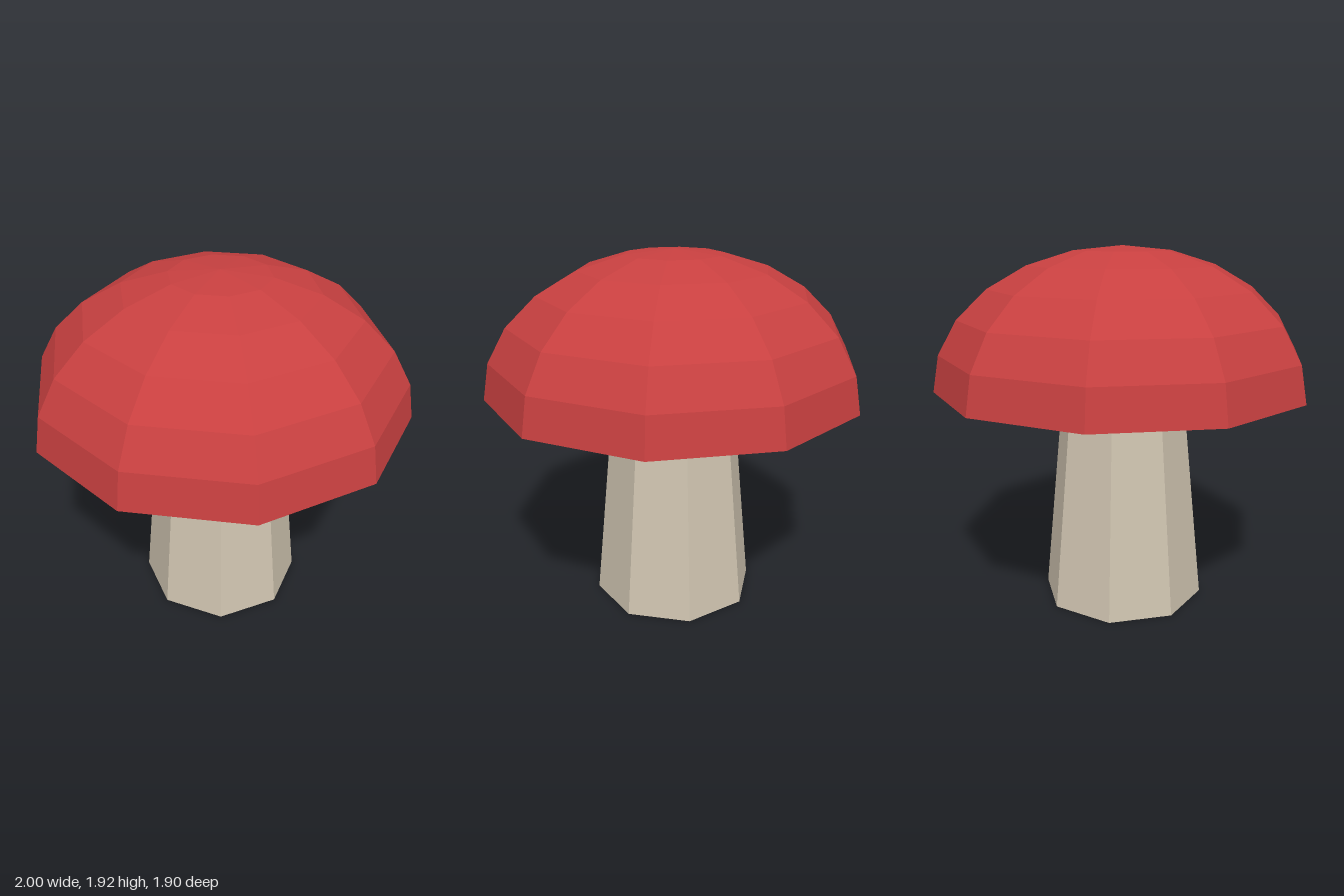
import * as THREE from 'three';

const flat = (color, side = THREE.FrontSide) =>
  new THREE.MeshStandardMaterial({ color, flatShading: true, side });

export function createModel() {
  const group = new THREE.Group();
  const add = (name, geometry, material, x, y, z) => {
    const mesh = new THREE.Mesh(geometry, material);
    mesh.name = name;
    mesh.position.set(x, y, z);
    group.add(mesh);
    return mesh;
  };

  const rimY = 1.18;

  // Tapered eight-sided stem
  add('stem', new THREE.CylinderGeometry(0.33, 0.445, rimY, 8), flat(0xcfc4b0), 0, rimY / 2, 0);

  // Open, flattened ten-sided dome
  const dome = new THREE.SphereGeometry(1, 10, 6, 0, Math.PI * 2, 0, Math.PI / 2);
  dome.scale(1, 0.745, 1);
  add('cap', dome, flat(0xc84040, THREE.DoubleSide), 0, rimY, 0);

  // Small faceted spots sitting within the cap: x, y, z, radius
  const spotMaterial = flat(0xcccccc);
  const spots = [
    [0.14, 1.4, -0.59, 0.1],
    [-0.51, 1.4, 0.07, 0.077],
    [0.444, 1.4, -0.03, 0.077],
  ];
  spots.forEach(([x, y, z, r], i) =>
    add(`spot${i + 1}`, new THREE.IcosahedronGeometry(r, 0), spotMaterial, x, y, z));

  return group;
}
